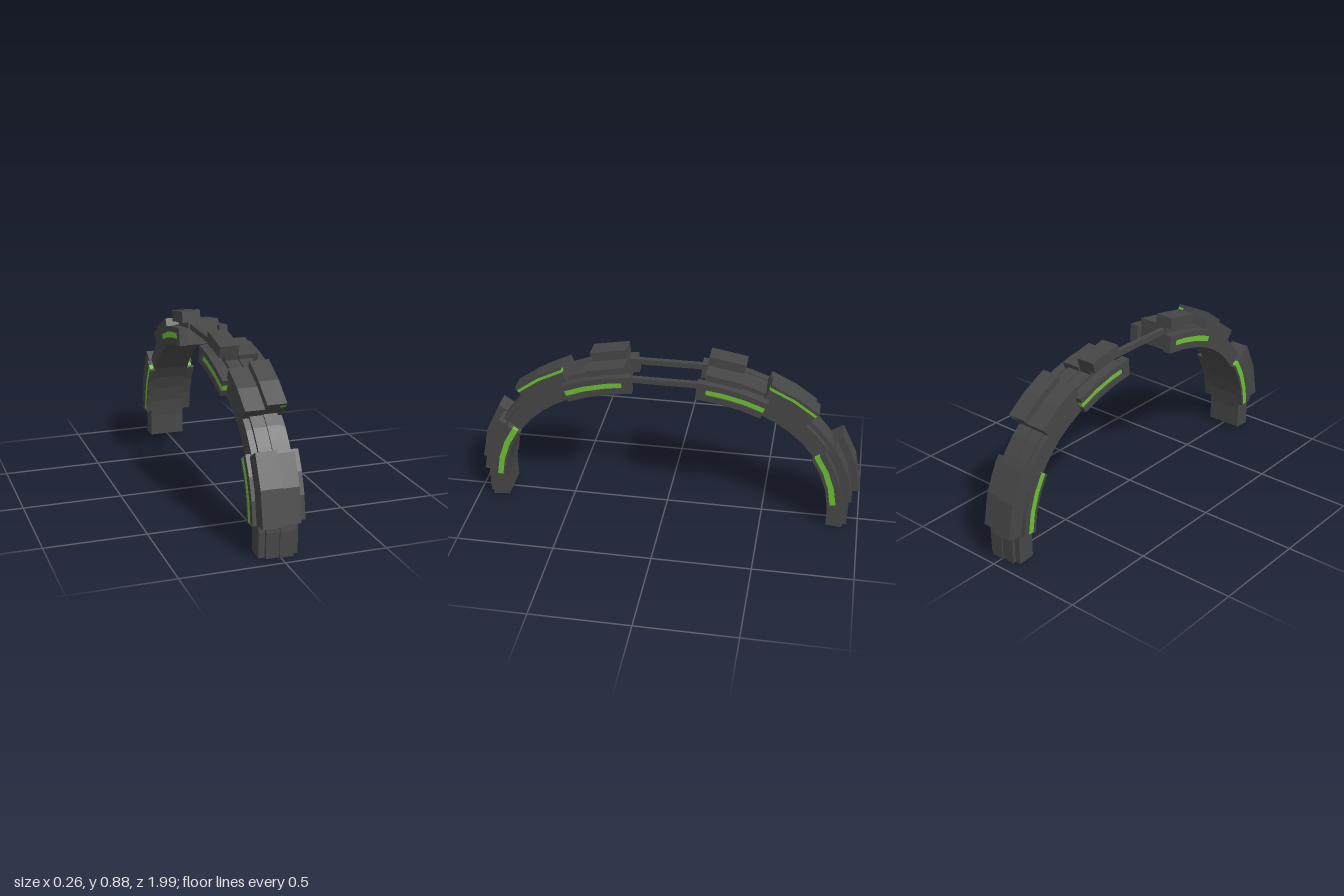
import * as THREE from 'three';

const dark = new THREE.MeshStandardMaterial({ color: 0x464646, flatShading: true });
const green = new THREE.MeshStandardMaterial({ color: 0x6cc032, flatShading: true });

// Inner curve of the arch: a slightly squared ellipse, t = 0 low on the leg, t = PI/2 at the crown
const pow = (v) => Math.sign(v) * Math.pow(Math.abs(v), 0.87);
const curve = (t) => [0.84 * pow(Math.cos(t)), 0.08 + 0.64 * pow(Math.sin(t))];

// Point at distance d outward from the curve, as [z, y]
function offset(t, d) {
  const [z, y] = curve(t), p = curve(t - 0.03), q = curve(t + 0.03);
  const dz = q[0] - p[0], dy = q[1] - p[1], len = Math.hypot(dz, dy);
  return [z + (d * dy) / len, y - (d * dz) / len];
}

// Box bent along the arch: x range, outward range and curve range; side = 1 front, -1 back
function bentBox(side, [x0, x1], [d0, d1], [t0, t1], segs) {
  const pos = [], idx = [];
  const tri = (a, b, c) => (side > 0 ? idx.push(a, b, c) : idx.push(a, c, b));
  for (let i = 0; i <= segs; i++) {
    const t = t0 + ((t1 - t0) * i) / segs;
    for (const [x, d] of [[x0, d0], [x1, d0], [x1, d1], [x0, d1]]) {
      const [z, y] = offset(t, d);
      pos.push(x, y, z * side);
    }
  }
  for (let i = 0; i < segs; i++) {
    for (let j = 0; j < 4; j++) {
      const a = i * 4 + j, b = i * 4 + ((j + 1) % 4);
      tri(a, a + 4, b);
      tri(b, a + 4, b + 4);
    }
  }
  const e = segs * 4;
  tri(0, 1, 2);
  tri(0, 2, 3);
  tri(e, e + 2, e + 1);
  tri(e, e + 3, e + 2);
  const indexed = new THREE.BufferGeometry();
  indexed.setAttribute('position', new THREE.Float32BufferAttribute(pos, 3));
  indexed.setIndex(idx);
  const geo = indexed.toNonIndexed();
  geo.computeVertexNormals();
  return geo;
}

function halfArch(side) {
  const half = new THREE.Group();
  half.name = side > 0 ? 'frontHalf' : 'backHalf';
  const add = (name, x, d, t, segs = 3, mat = dark) => {
    const mesh = new THREE.Mesh(bentBox(side, x, d, t, segs), mat);
    mesh.name = name;
    half.add(mesh);
  };

  // Main band with a raised rib on each side of the centre seam
  add('archBand', [-0.1, 0.09], [0, 0.085], [-0.08, 1.39], 12);
  add('rightRib', [-0.07, -0.005], [0.08, 0.1], [-0.08, 1.39], 12);
  add('leftRib', [-0.005, 0.062], [0.08, 0.107], [-0.08, 1.39], 12);

  // Lower armour plates
  add('lowerRightPlate', [-0.108, -0.005], [0.08, 0.16], [0.09, 0.49], 2);
  add('lowerLeftPlate', [-0.005, 0.092], [0.08, 0.122], [0.085, 0.48], 2);

  // Upper armour plates, the left one layered around a light strip
  const upper = [0.735, 1.05];
  add('upperRightPlate', [-0.102, -0.005], [0.08, 0.145], upper, 2);
  add('upperLeftPlateBase', [-0.005, 0.092], [0.08, 0.15], upper, 2);
  add('upperLightStrip', [0.062, 0.092], [0.15, 0.165], upper, 2, green);
  add('upperLeftPlateCore', [-0.005, 0.062], [0.15, 0.165], upper, 2);
  add('upperLeftPlateTop', [-0.005, 0.092], [0.165, 0.18], upper, 2);

  // Crown blocks
  add('crownSlab', [-0.005, 0.092], [0.08, 0.128], [1.19, 1.39], 1);
  add('crownStem', [-0.07, -0.005], [0.09, 0.12], [1.2, 1.39], 1);
  add('crownBlock', [-0.102, -0.005], [0.118, 0.176], [1.2, 1.39], 1);

  // Side housings: two rails, a recessed core and a light strip, on both flanks
  const housing = (name, m, out, rails, [g0, g1], t, lightT) => {
    const x = (a, b) => (m > 0 ? [a, b] : [-b - 0.003, -a - 0.003]);
    add(name + 'InnerRail', x(0.085, out), [rails[0], g0], t);
    add(name + 'OuterRail', x(0.085, out), [g1, rails[1]], t);
    add(name + 'Core', x(0.085, 0.1), [g0, g1], t);
    add(name + 'Light', x(0.09, 0.121), [g0, g1], lightT, 3, green);
  };
  for (const m of [1, -1]) {
    const s = m > 0 ? 'left' : 'right';
    housing(s + 'LowerHousing', m, m > 0 ? 0.13 : 0.122, [0, 0.075], [0.014, 0.045], [0.082, 0.51], [0.084, 0.508]);
    housing(s + 'UpperHousing', m, 0.129, [0.004, 0.095], [0.035, 0.066], [1.02, 1.425], [1.022, 1.375]);
    // End block closing the upper housing
    add(s + 'HousingEnd', m > 0 ? [0.085, 0.129] : [-0.132, -0.088], [0.004, 0.095], [1.376, 1.425], 1);
  }
  return half;
}

export function createModel() {
  const model = new THREE.Group();
  model.name = 'headbandArch';
  model.add(halfArch(1), halfArch(-1));

  // Two rods bridging the gap at the crown, at different heights
  for (const [name, x, y] of [['rightRod', -0.05, 0.807], ['leftRod', 0.038, 0.748]]) {
    const rod = new THREE.Mesh(new THREE.BoxGeometry(0.026, 0.028, 0.42), dark);
    rod.name = name;
    rod.position.set(x, y, 0);
    model.add(rod);
  }
  return model;
}
